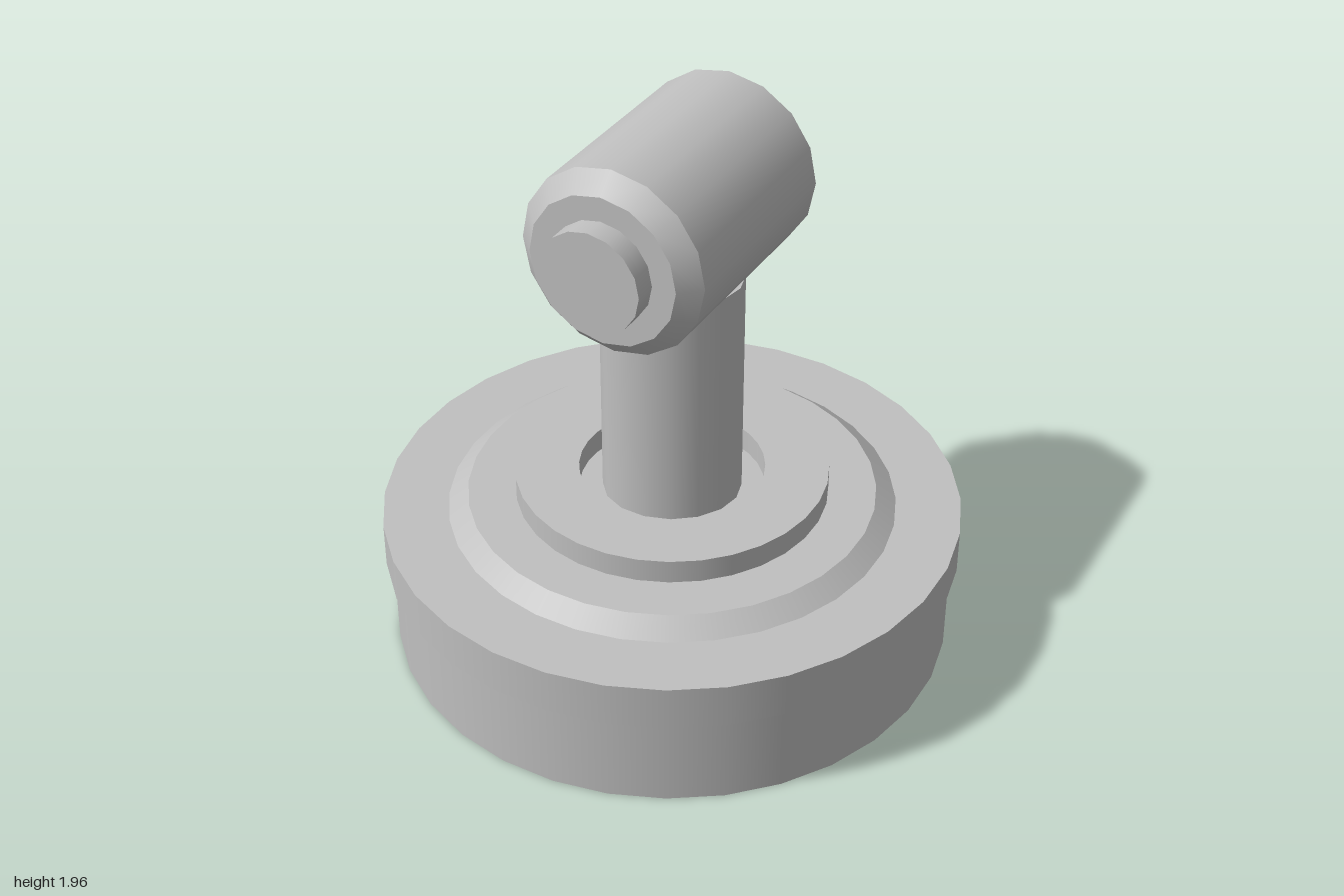
import * as THREE from 'three';

export function createModel() {
  const model = new THREE.Group();
  const grey = new THREE.MeshStandardMaterial({ color: 0xc0c0c0 });
  grey.name = 'plain grey';

  const add = (parent, name, geometry) => {
    const mesh = new THREE.Mesh(geometry, grey);
    mesh.name = name;
    parent.add(mesh);
    return mesh;
  };
  // upright frustum between two heights
  const drum = (rTop, rBottom, y0, y1, sides = 32, open = false) =>
    new THREE.CylinderGeometry(rTop, rBottom, y1 - y0, sides, 1, open).translate(0, (y0 + y1) / 2, 0);

  // stepped round base
  add(model, 'baseDrum', drum(0.975, 0.975, 0, 0.33));
  add(model, 'baseRim', drum(1, 1, 0.33, 0.49));
  add(model, 'bevelledDeck', drum(0.705, 0.775, 0.49, 0.545));

  // raised collar around a shallow well
  const collar = new THREE.Group();
  collar.name = 'collar';
  model.add(collar);
  add(collar, 'collarOuterWall', drum(0.54, 0.54, 0.545, 0.63, 32, true));
  add(collar, 'collarTop', new THREE.RingGeometry(0.32, 0.54, 32).rotateX(-Math.PI / 2).translate(0, 0.63, 0));
  // mirrored on x so that the wall faces inwards
  const well = drum(0.32, 0.32, 0.545, 0.63, 32, true).scale(-1, 1, 1);
  const index = well.index;
  for (let i = 0; i < index.count; i += 3) {
    const b = index.getX(i + 1);
    index.setX(i + 1, index.getX(i + 2));
    index.setX(i + 2, b);
  }
  const normals = well.attributes.normal;
  for (let i = 0; i < normals.count; i++) {
    normals.setXYZ(i, -normals.getX(i), 0, -normals.getZ(i));
  }
  // the two passes above leave an outward wall, so turn the winding for the inside
  const pos = well.attributes.position;
  const a = new THREE.Vector3().fromBufferAttribute(pos, index.getX(0));
  const b = new THREE.Vector3().fromBufferAttribute(pos, index.getX(1));
  const c = new THREE.Vector3().fromBufferAttribute(pos, index.getX(2));
  const face = b.clone().sub(a).cross(c.clone().sub(a));
  if (face.dot(a.clone().setY(0)) > 0) {
    for (let i = 0; i < index.count; i += 3) {
      const k = index.getX(i + 1);
      index.setX(i + 1, index.getX(i + 2));
      index.setX(i + 2, k);
    }
  }
  add(collar, 'wellWall', well);

  // slightly oval stem
  add(model, 'stem', drum(1, 1, 0.545, 1.39, 16).scale(0.24, 1, 0.205));

  // turned head: barrel with a chamfer and a stub at each end
  const head = new THREE.Group();
  head.name = 'head';
  head.position.y = 1.635;
  head.rotation.y = THREE.MathUtils.degToRad(-28.3);
  model.add(head);
  const along = (geometry, end = 1) => geometry.rotateX(end * Math.PI / 2);
  add(head, 'barrel', along(drum(0.325, 0.325, -0.374, 0.374, 16)));
  for (const end of [1, -1]) {
    add(head, 'barrelChamfer', along(drum(0.26, 0.325, 0.374, 0.438, 16), end));
    add(head, 'endStub', along(drum(0.177, 0.177, 0.438, 0.517, 16), end));
  }
  return model;
}
